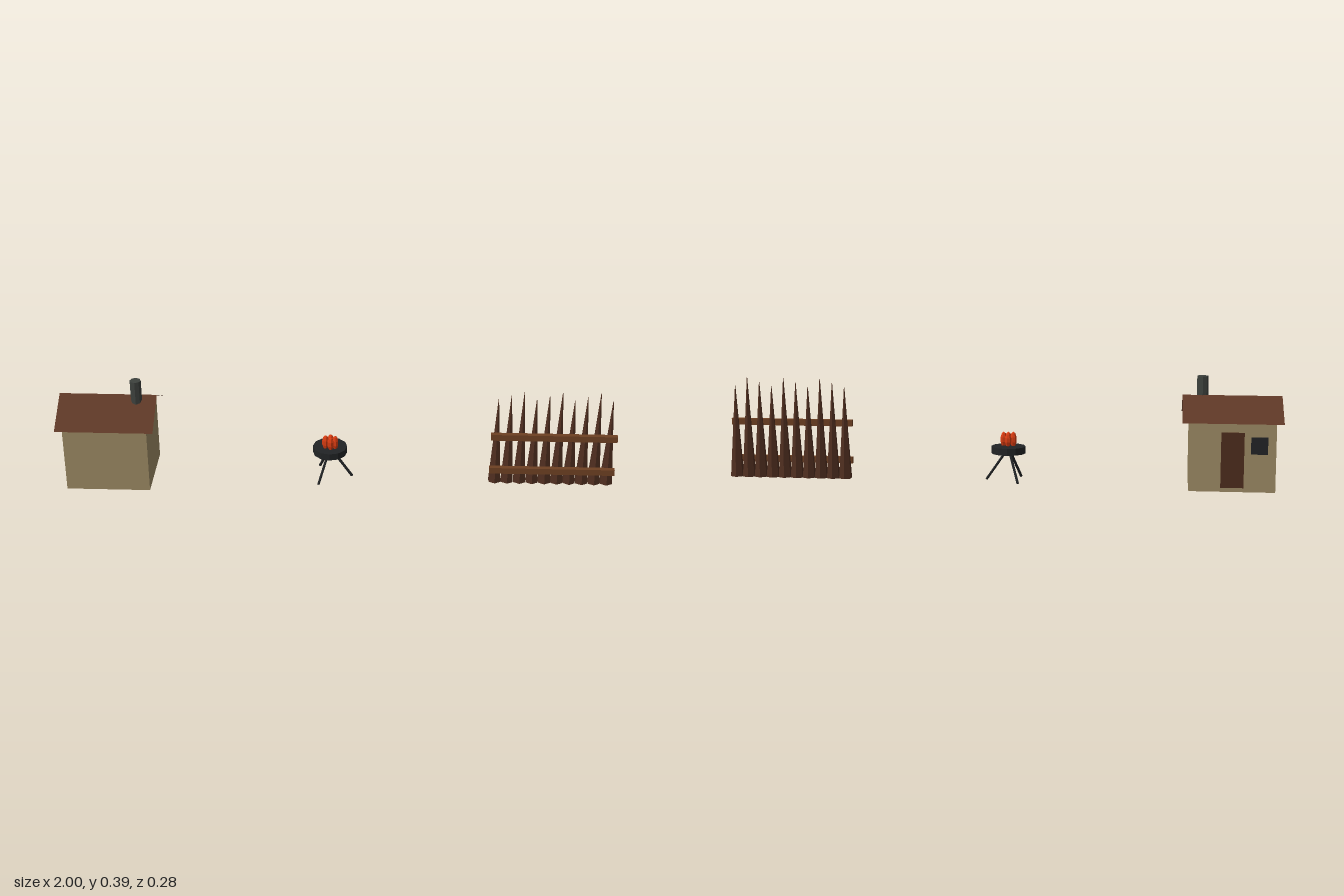
import * as THREE from 'three';

const mat = (name, color, extra = {}) =>
  Object.assign(new THREE.MeshStandardMaterial({ color, flatShading: true, ...extra }), { name });

export function createModel() {
  const wall = mat('wallTan', 0x9a8862);
  const roofBrown = mat('roofBrown', 0x5e3826, { side: THREE.DoubleSide });
  const doorBrown = mat('doorBrown', 0x4c2b1c);
  const stakeBrown = mat('stakeBrown', 0x4f2e1f);
  const railBrown = mat('railBrown', 0x6e4022);
  const chimneyGrey = mat('chimneyGrey', 0x3d413d);
  const iron = mat('ironBlack', 0x212325);
  const fire = mat('fireOrange', 0xd83c12);

  const model = new THREE.Group();
  model.name = 'campSet';

  const group = (name, x) => {
    const g = new THREE.Group();
    g.name = name;
    g.position.x = x;
    model.add(g);
    return g;
  };
  const add = (parent, name, geo, material, x = 0, y = 0, z = 0) => {
    const m = new THREE.Mesh(geo, material);
    m.name = name;
    m.position.set(x, y, z);
    parent.add(m);
    return m;
  };
  const box = (w, h, d) => new THREE.BoxGeometry(w, h, d);

  // Hut: box body, two thin roof sheets with open gables, stove pipe
  const hut = group('hut', -0.825);
  add(hut, 'walls', box(0.3, 0.24, 0.256), wall, 0, 0.125, 0);
  const eave = 0.142, rise = 0.08, ridgeY = 0.327;
  for (const side of [1, -1]) {
    const sheet = new THREE.PlaneGeometry(0.35, Math.hypot(eave, rise));
    sheet.rotateX(-Math.PI / 2 + side * Math.atan2(rise, eave));
    add(hut, side > 0 ? 'frontRoof' : 'backRoof', sheet, roofBrown, 0, ridgeY - rise / 2, side * eave / 2);
  }
  add(hut, 'chimney', new THREE.CylinderGeometry(0.02, 0.02, 0.098, 8), chimneyGrey, 0.104, 0.344, 0.018);
  add(hut, 'door', box(0.08, 0.195, 0.006), doorBrown, 0, 0.1175, -0.129);
  add(hut, 'window', box(0.058, 0.06, 0.008), iron, -0.092, 0.17, -0.1305);

  // Fire bowl on a tripod
  const brazier = group('brazier', -0.03);
  add(brazier, 'bowl', new THREE.CylinderGeometry(0.062, 0.062, 0.025, 12), iron, 0, 0.1175, 0);
  const up = new THREE.Vector3(0, 1, 0);
  for (let i = 0; i < 3; i++) {
    const a = (i * Math.PI * 2) / 3;
    const foot = new THREE.Vector3(0.08 * Math.cos(a), 0.007, 0.08 * Math.sin(a));
    const top = new THREE.Vector3(0.006 * Math.cos(a), 0.115, 0.006 * Math.sin(a));
    const dir = top.clone().sub(foot);
    const leg = add(brazier, 'leg', new THREE.CylinderGeometry(0.005, 0.005, dir.length(), 6), iron);
    leg.position.copy(foot).add(top).multiplyScalar(0.5);
    leg.quaternion.setFromUnitVectors(up, dir.normalize());
  }
  for (const [x, z, h] of [[-0.016, 0.012, 0.029], [0.003, 0.022, 0.027], [0.019, 0.014, 0.028], [0.002, 0, 0.026]]) {
    const flame = new THREE.SphereGeometry(1, 7, 5).scale(0.0125, h, 0.0125);
    add(brazier, 'flame', flame, fire, x, 0.152, z);
  }

  // Palisade: sharpened stakes with two front rails
  const fence = group('palisade', 0.7725);
  for (let i = 0; i < 10; i++) {
    const h = 0.335 + (i % 3) * 0.015;
    add(fence, 'stake', new THREE.CylinderGeometry(0.001, 0.025, h, 6), stakeBrown, (i - 4.5) * 0.045, h / 2, 0);
  }
  for (const y of [0.062, 0.199]) add(fence, 'rail', box(0.45, 0.023, 0.018), railBrown, 0, y, 0.03);

  return model;
}
